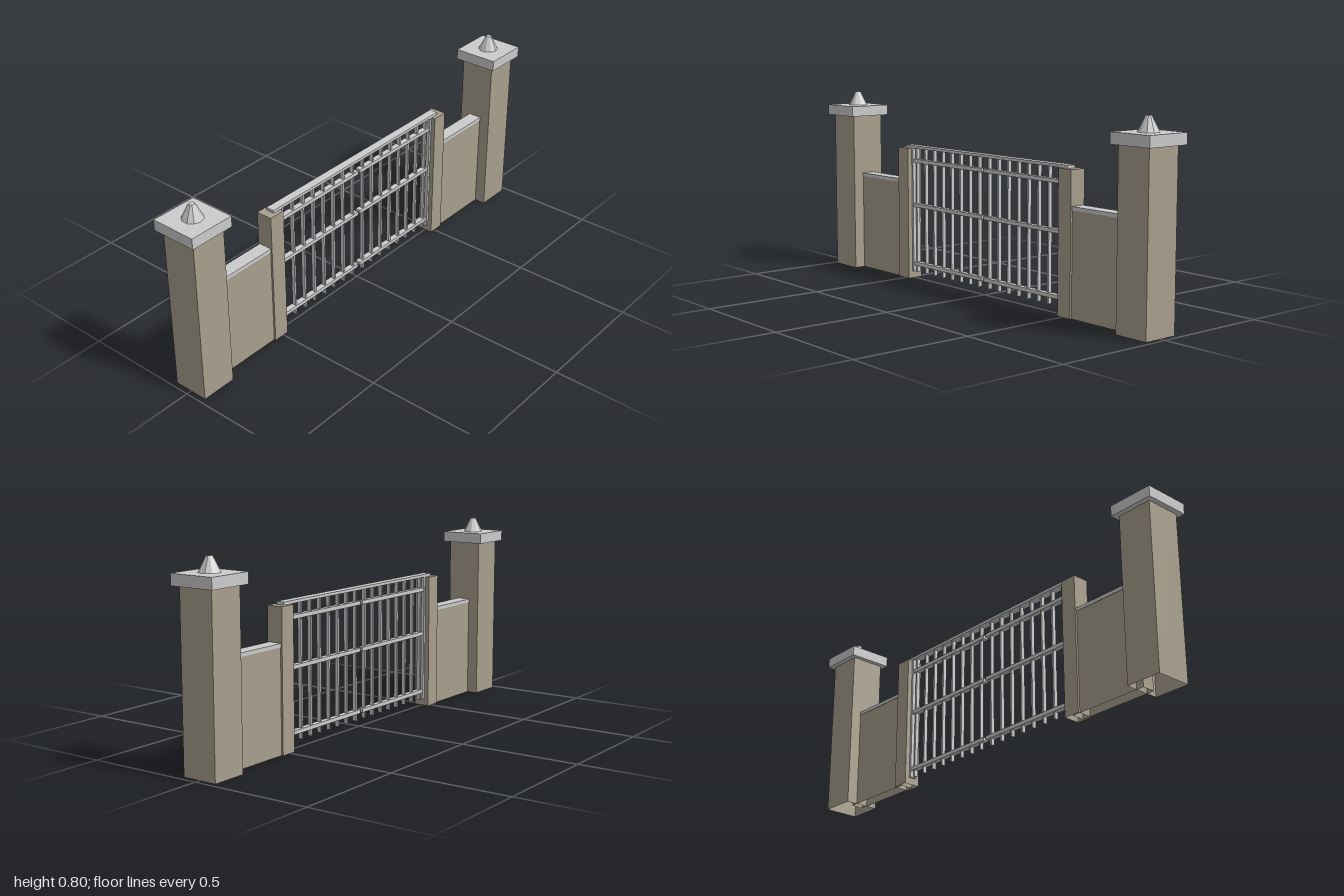
import * as THREE from 'three';

const stone = new THREE.MeshStandardMaterial({ color: 0xa89f8c, side: THREE.DoubleSide, flatShading: true });
const metal = new THREE.MeshStandardMaterial({ color: 0xcccccc, flatShading: true });

// Box given by its limits on x and y and its full depth on z
function block(name, x0, x1, y0, y1, depth, material) {
  const geometry = new THREE.BoxGeometry(x1 - x0, y1 - y0, depth);
  const mesh = new THREE.Mesh(geometry, material);
  mesh.position.set((x0 + x1) / 2, (y0 + y1) / 2, 0);
  mesh.name = name;
  return mesh;
}

// Stone block left open underneath
function masonry(name, x0, x1, height, depth) {
  const mesh = block(name, x0, x1, 0, height, depth, stone);
  const index = Array.from(mesh.geometry.index.array);
  index.splice(18, 6); // bottom face
  mesh.geometry.setIndex(index);
  mesh.geometry.clearGroups();
  return mesh;
}

// Pillar, low wall and gate post for one side (built at +x)
function createSide(s) {
  const side = new THREE.Group();
  side.name = s > 0 ? 'leftMasonry' : 'rightMasonry';
  const span = (a, b) => (s > 0 ? [a, b] : [-b, -a]);

  side.add(
    masonry('pillar', ...span(0.828, 0.978), 0.695, 0.15),
    block('pillarCap', ...span(0.807, 1.0), 0.695, 0.74, 0.193, metal),
    masonry('wall', ...span(0.51, 0.86), 0.42, 0.054),
    block('wallCoping', ...span(0.53, 0.84), 0.42, 0.435, 0.058, metal),
    masonry('gatePost', ...span(0.476, 0.546), 0.575, 0.07),
  );

  // Tapered finial on the pillar cap
  const finial = new THREE.Mesh(new THREE.CylinderGeometry(0.012, 0.042, 0.06, 10), metal);
  finial.position.set(s * 0.903, 0.77, 0);
  finial.name = 'finial';
  side.add(finial);
  return side;
}

// One gate leaf: upright bars, three rails and a hinge stile
function createLeaf(s) {
  const leaf = new THREE.Group();
  leaf.name = s > 0 ? 'leftGateLeaf' : 'rightGateLeaf';
  const span = (a, b) => (s > 0 ? [a, b] : [-b, -a]);

  for (let i = 0; i < 8; i++) {
    const x = 0.032 + i * 0.06;
    leaf.add(block('gateBar', ...span(x - 0.004, x + 0.004), 0.03, 0.575, 0.016, metal));
  }
  for (const y of [0.066, 0.325, 0.52]) {
    leaf.add(block('gateRail', ...span(0.006, 0.472), y - 0.008, y + 0.008, 0.024, metal));
  }
  leaf.add(block('hingeStile', ...span(0.466, 0.476), 0.03, 0.575, 0.03, metal));
  return leaf;
}

export function createModel() {
  const model = new THREE.Group();
  model.name = 'gateway';
  for (const s of [1, -1]) model.add(createSide(s), createLeaf(s));
  // Beam lying across both gate posts
  model.add(block('topBeam', -0.512, 0.512, 0.575, 0.587, 0.036, metal));
  return model;
}
